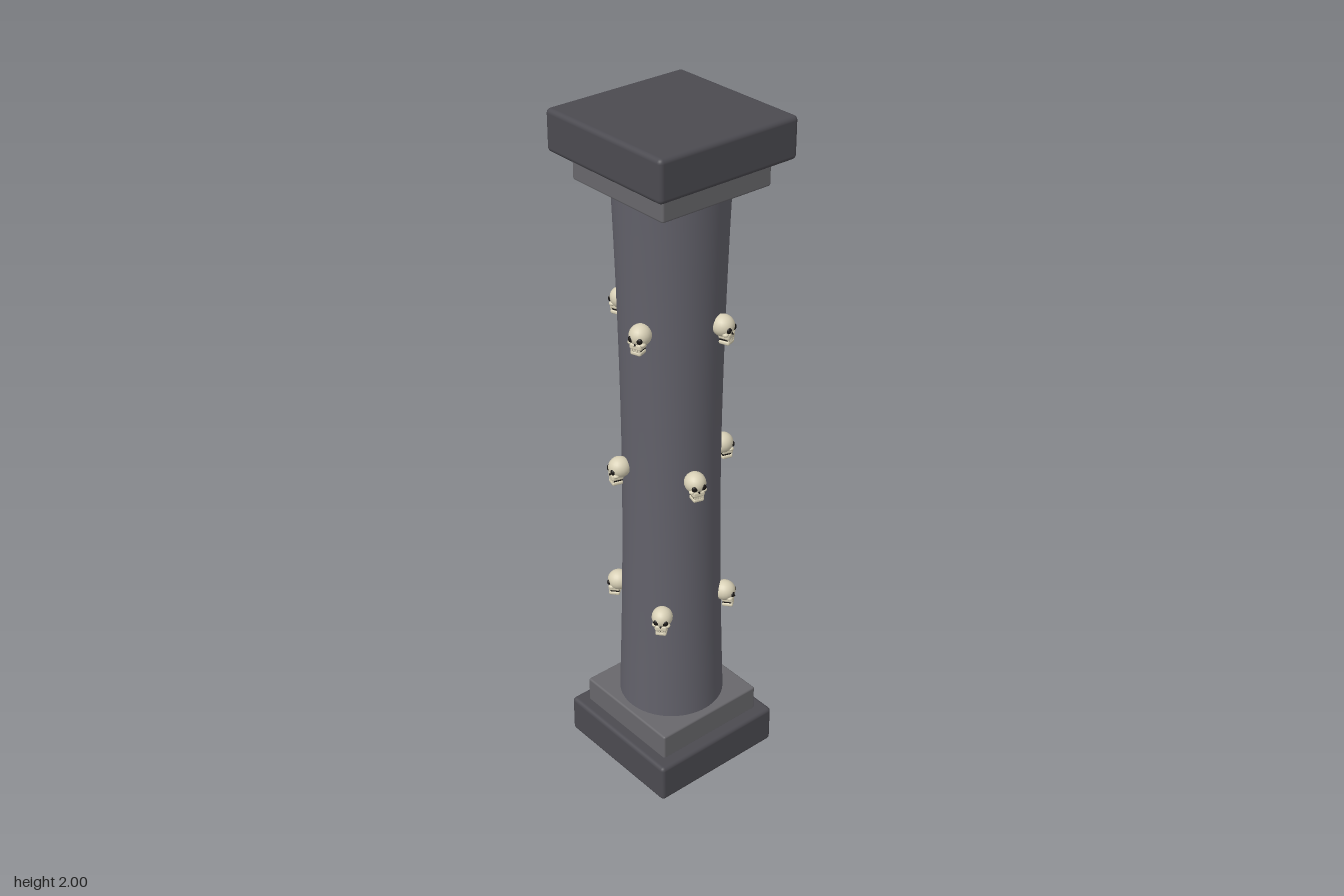
import * as THREE from 'three';
import { RoundedBoxGeometry } from 'three/addons/geometries/RoundedBoxGeometry.js';

const mat = (color) => new THREE.MeshStandardMaterial({ color });

export function createModel() {
  const model = new THREE.Group();
  const darkStone = mat(0x4b4a50), paleStone = mat(0x68676b), shaftStone = mat(0x62616a);
  const bone = mat(0xd8d0b6), hollow = mat(0x1a1715);

  const add = (parent, name, geometry, material, x = 0, y = 0, z = 0) => {
    const mesh = new THREE.Mesh(geometry, material);
    mesh.name = name;
    mesh.position.set(x, y, z);
    parent.add(mesh);
    return mesh;
  };

  // Square slabs at both ends: name, width, bottom, top, edge radius, material
  for (const [name, w, y0, y1, r, m] of [
    ['base', 0.428, 0, 0.12, 0.012, darkStone],
    ['baseStep', 0.354, 0.115, 0.197, 0.006, paleStone],
    ['capitalStep', 0.354, 1.812, 1.892, 0.006, paleStone],
    ['capital', 0.444, 1.885, 2, 0.013, darkStone],
  ]) add(model, name, new RoundedBoxGeometry(w, y1 - y0, w, 3, r), m, 0, (y0 + y1) / 2, 0);

  // Round shaft, waisted in the middle
  const outline = new THREE.SplineCurve([
    [0.154, 0.18], [0.15, 0.3], [0.144, 0.5], [0.139, 0.75], [0.137, 1],
    [0.139, 1.25], [0.144, 1.5], [0.15, 1.7], [0.155, 1.83],
  ].map(([r, y]) => new THREE.Vector2(r, y)));
  add(model, 'shaft', new THREE.LatheGeometry(outline.getPoints(32), 64), shaftStone);

  // Skull facing +z, centred on its cranium
  const ball = new THREE.SphereGeometry(1, 20, 14);
  const tooth = new RoundedBoxGeometry(0.0065, 0.009, 0.005, 1, 0.0015);
  const noseShape = new THREE.ConeGeometry(0.0045, 0.01, 3);
  const upperJaw = new RoundedBoxGeometry(0.036, 0.018, 0.034, 2, 0.006);
  const lowerJaw = new RoundedBoxGeometry(0.032, 0.012, 0.032, 2, 0.005);
  const makeSkull = () => {
    const skull = new THREE.Group();
    skull.name = 'skull';
    add(skull, 'cranium', ball, bone).scale.set(0.03, 0.03, 0.032);
    add(skull, 'upperJaw', upperJaw, bone, 0, -0.024, 0.011);
    add(skull, 'lowerJaw', lowerJaw, bone, 0, -0.043, 0.011);
    add(skull, 'mouth', new THREE.BoxGeometry(0.026, 0.01, 0.026), hollow, 0, -0.035, 0.01);
    add(skull, 'nose', noseShape, hollow, 0, -0.014, 0.028);
    for (const side of [-1, 1]) {
      add(skull, 'eyeSocket', ball, hollow, side * 0.0125, -0.004, 0.0255).scale.set(0.0088, 0.009, 0.006);
      add(skull, 'cheekbone', ball, bone, side * 0.018, -0.016, 0.018).scale.set(0.008, 0.006, 0.009);
    }
    for (let i = -1.5; i <= 1.5; i++) add(skull, 'tooth', tooth, bone, i * 0.0075, -0.034, 0.0245);
    return skull;
  };

  // Three rings of four skulls, each ring turned by its own angle
  for (const [y, turn] of [[1.451, 0.33], [1.007, -0.28], [0.563, 0.7]]) {
    for (let i = 0; i < 4; i++) {
      const a = turn + i * Math.PI / 2;
      const skull = makeSkull();
      skull.position.set(Math.sin(a) * 0.155, y, Math.cos(a) * 0.155);
      skull.rotation.y = a;
      model.add(skull);
    }
  }
  return model;
}
